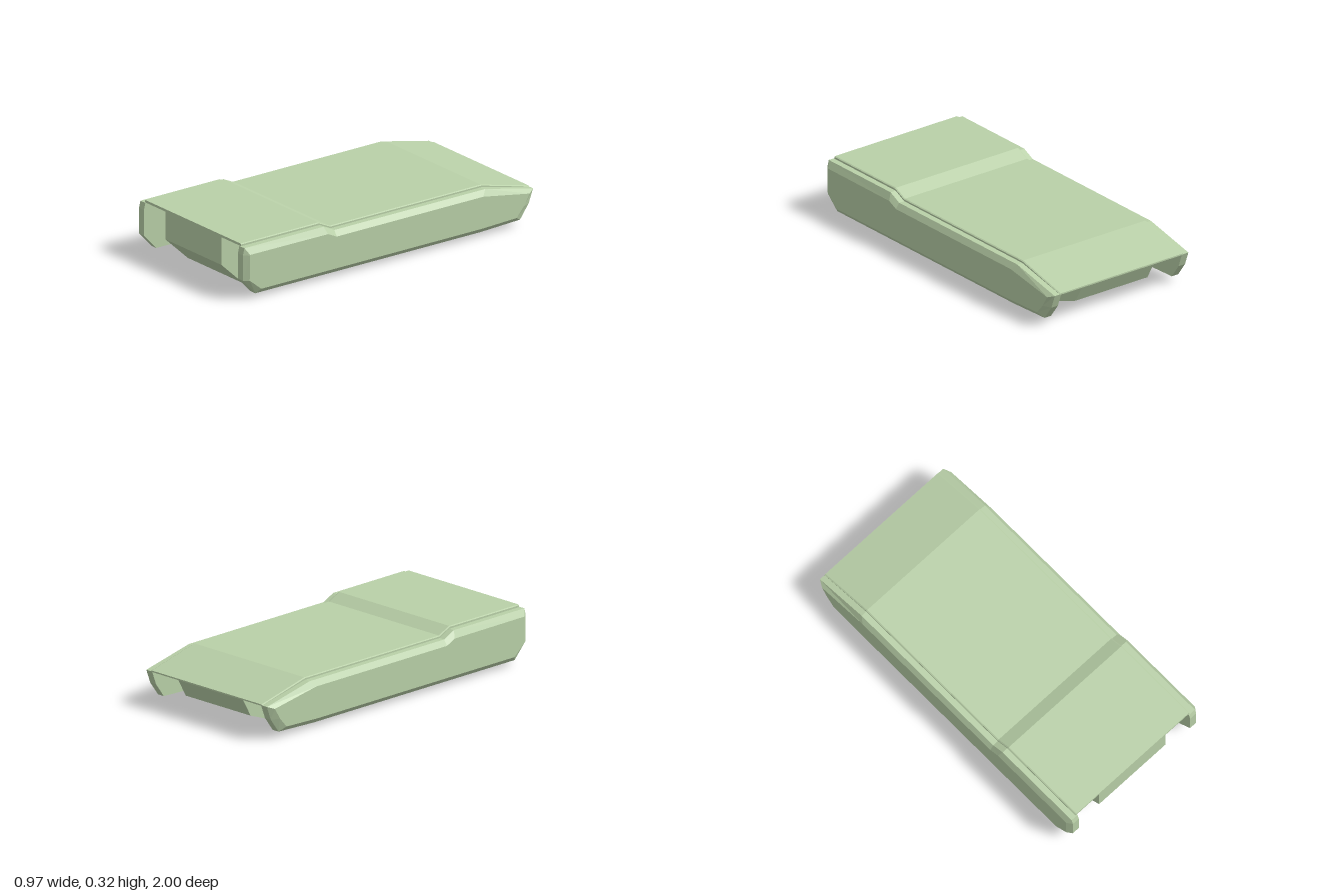
import * as THREE from 'three';

const paint = new THREE.MeshStandardMaterial({ color: 0xb9d0a8, flatShading: true });

// Closed solid from matching [z, y] outlines placed at increasing x.
function loft(name, sections) {
  const rings = sections.map(([x, outline]) => {
    const pts = outline.map(([z, y]) => new THREE.Vector2(z, y));
    if (THREE.ShapeUtils.isClockWise(pts)) pts.reverse();
    return { x, pts };
  });
  const pos = [];
  const put = (ring, i) => pos.push(ring.x, ring.pts[i].y, ring.pts[i].x);
  const n = rings[0].pts.length;
  // side walls
  for (let s = 0; s < rings.length - 1; s++) {
    const p = rings[s], q = rings[s + 1];
    for (let i = 0; i < n; i++) {
      const j = (i + 1) % n;
      put(p, i); put(q, i); put(q, j);
      put(p, i); put(q, j); put(p, j);
    }
  }
  // end caps
  const first = rings[0], last = rings[rings.length - 1];
  for (const [a, b, c] of THREE.ShapeUtils.triangulateShape(first.pts, [])) {
    put(first, a); put(first, b); put(first, c);
  }
  for (const [a, b, c] of THREE.ShapeUtils.triangulateShape(last.pts, [])) {
    put(last, c); put(last, b); put(last, a);
  }
  const geo = new THREE.BufferGeometry();
  geo.setAttribute('position', new THREE.Float32BufferAttribute(pos, 3));
  geo.computeVertexNormals();
  const mesh = new THREE.Mesh(geo, paint);
  mesh.name = name;
  return mesh;
}

export function createModel() {
  const group = new THREE.Group();
  group.name = 'vehicleHull';

  // Thin stepped deck plate with slightly chamfered long edges
  const deckTop = [[0.985, 0.322], [0.45, 0.322], [0.37, 0.285], [-0.67, 0.285], [-1, 0.205]];
  const deckUnder = [[-1, 0.197], [-0.67, 0.268], [0.37, 0.268], [0.445, 0.308], [0.985, 0.308]];
  const deck = [...deckTop, ...deckUnder];
  const deckEdge = [...deckTop.map(([z, y]) => [z, y - 0.004]), ...deckUnder];
  group.add(loft('deckPlate', [[-0.43, deckEdge], [-0.423, deck], [0.423, deck], [0.43, deckEdge]]));

  // Central belly tub with sloped nose and two-step tail
  const belly = [
    [0.983, 0.31], [0.445, 0.31], [0.37, 0.272], [-0.67, 0.272], [-0.98, 0.203],
    [-0.91, 0.08], [-0.7, 0.002], [0.83, 0.002], [0.983, 0.145],
  ];
  group.add(loft('bellyTub', [[-0.25, belly], [0.25, belly]]));

  // Side skirts, bevelled toward the outside
  const skirtOutline = [
    [0.99, 0.308], [0.445, 0.308], [0.37, 0.272], [-0.67, 0.272], [-1, 0.2],
    [-0.97, 0.12], [-0.91, 0.038], [-0.64, 0.028], [0.915, 0.028], [1, 0.12], [1, 0.268],
  ];
  const skirtFace = [
    [0.967, 0.27], [0.43, 0.268], [0.37, 0.24], [-0.64, 0.24], [-0.96, 0.185],
    [-0.92, 0.12], [-0.87, 0.063], [-0.63, 0.055], [0.89, 0.055], [0.97, 0.12], [0.968, 0.265],
  ];
  const skirt = [[0.42, skirtOutline], [0.465, skirtOutline], [0.487, skirtFace]];
  group.add(loft('leftSkirt', skirt));
  group.add(loft('rightSkirt', skirt.map(([x, o]) => [-x, o]).reverse()));

  return group;
}
